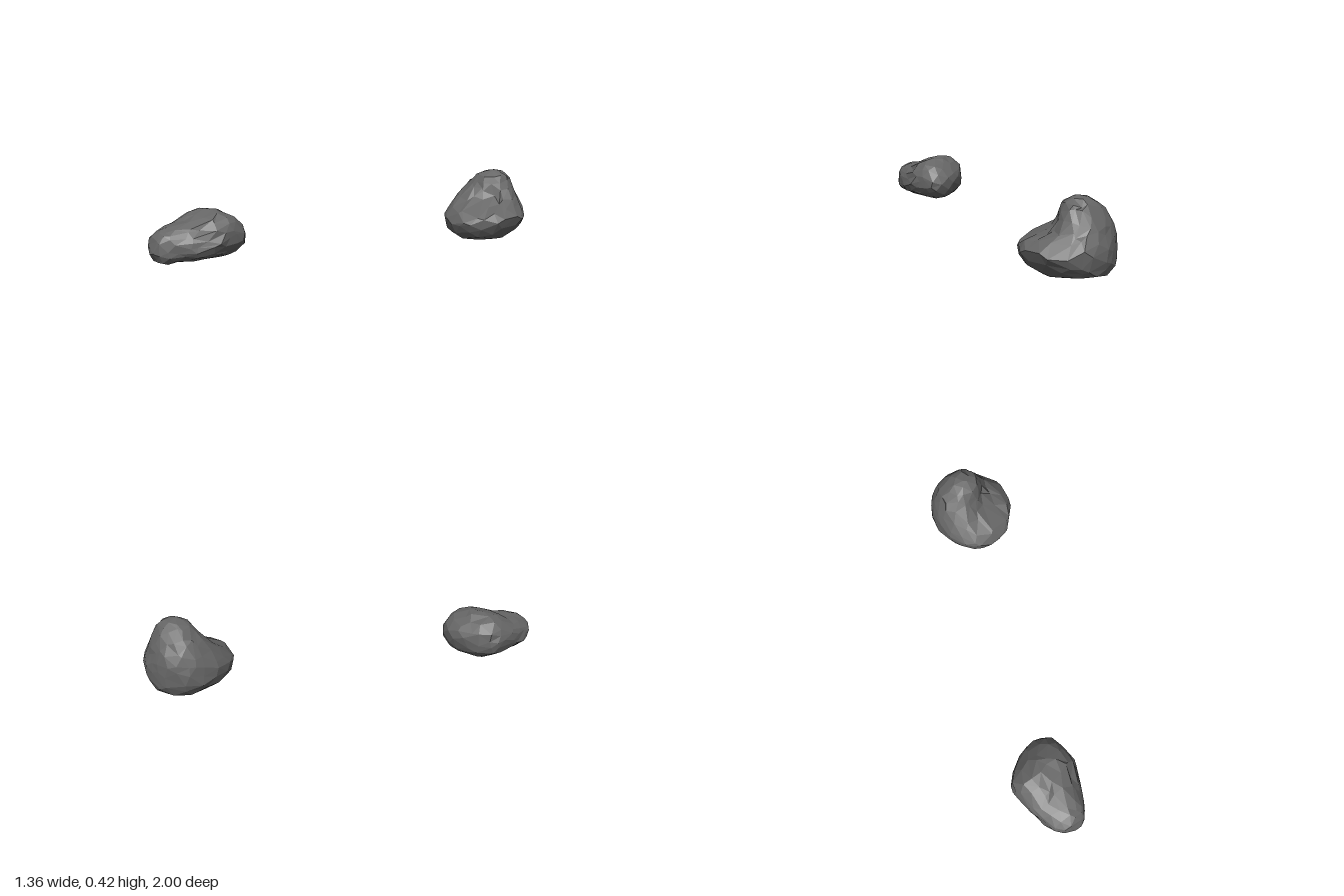
import * as THREE from 'three';
import { mergeVertices } from 'three/addons/utils/BufferGeometryUtils.js';

const material = new THREE.MeshStandardMaterial({ color: 0x666666, flatShading: true });

function seeded(seed) {
  return () => {
    seed = (seed * 16807) % 2147483647;
    return seed / 2147483647 - 0.5;
  };
}

// Centres and swellings of the cross-section at height a, blended between rows
function sectionAt(rows, a, lo, hi) {
  const swell = (r) => {
    const t = (r[0] - lo) / (hi - lo);
    const s = 2 * Math.sqrt(t * (1 - t));
    return [(r[1] + r[2]) / 2, (r[2] - r[1]) / 2 / s, (r[3] + r[4]) / 2, (r[4] - r[3]) / 2 / s];
  };
  let i = 0;
  while (i < rows.length - 2 && a > rows[i + 1][0]) i++;
  const f = THREE.MathUtils.clamp((a - rows[i][0]) / (rows[i + 1][0] - rows[i][0]), 0, 1);
  const p = swell(rows[i]), q = swell(rows[i + 1]);
  return p.map((v, k) => v + (q[k] - v) * f);
}

// Faceted ball shaped by cross-sections [a, bMin, bMax, cMin, cMax] along one axis,
// then pushed in or out around a few points and fitted to its box
function rock({ name, axes, rows, lo, hi, square, pushes, box, seed }) {
  const rnd = seeded(seed);
  let geo = new THREE.IcosahedronGeometry(1, 3);
  geo.deleteAttribute('normal');
  geo.deleteAttribute('uv');
  geo = mergeVertices(geo, 1e-4);
  const pos = geo.attributes.position;
  const [A, B, C] = axes;
  const v = new THREE.Vector3(), d = new THREE.Vector3();
  for (let i = 0; i < pos.count; i++) {
    v.fromBufferAttribute(pos, i);
    v.add(d.set(rnd(), rnd(), rnd()).multiplyScalar(0.2)).normalize();
    const a = lo + (hi - lo) * (v.getComponent(A) + 1) / 2;
    const b = v.getComponent(B), c = v.getComponent(C);
    const s = Math.hypot(b, c) || 1;
    const round = (Math.abs(b / s) ** square + Math.abs(c / s) ** square) ** (1 / square) || 1;
    const [cb, kb, cc, kc] = sectionAt(rows, a, lo, hi);
    v.setComponent(A, a);
    v.setComponent(B, cb + kb * b / round);
    v.setComponent(C, cc + kc * c / round);
    for (const [centre, radius, shift] of pushes) {
      const w = Math.exp(-((v.distanceTo(d.fromArray(centre)) / radius) ** 2));
      v.addScaledVector(d.fromArray(shift), w);
    }
    v.add(d.set(rnd(), rnd(), rnd()).multiplyScalar(0.01));
    pos.setXYZ(i, v.x, v.y, v.z);
  }
  // Fit exactly to the box
  geo.computeBoundingBox();
  const { min, max } = geo.boundingBox;
  for (let i = 0; i < pos.count; i++) {
    for (let k = 0; k < 3; k++) {
      const m = min.getComponent(k), f = (pos.getComponent(i, k) - m) / (max.getComponent(k) - m);
      pos.setComponent(i, k, box[0][k] + f * (box[1][k] - box[0][k]));
    }
  }
  geo.computeVertexNormals();
  const mesh = new THREE.Mesh(geo, material);
  mesh.name = name;
  return mesh;
}

export function createModel() {
  const group = new THREE.Group();
  group.name = 'rocks';

  // Long low rock, sections along z: x range, y range
  group.add(rock({
    name: 'lowRock', axes: [2, 0, 1], lo: 0.49, hi: 1, square: 2.4, seed: 71,
    rows: [
      [0.51, -0.55, -0.35, 0.08, 0.20],
      [0.54, -0.62, -0.31, 0.05, 0.235],
      [0.60, -0.67, -0.30, 0.02, 0.28],
      [0.66, -0.68, -0.30, 0.02, 0.285],
      [0.72, -0.68, -0.30, 0.025, 0.27],
      [0.79, -0.68, -0.33, 0.025, 0.235],
      [0.88, -0.68, -0.40, 0.025, 0.21],
      [0.95, -0.65, -0.46, 0.025, 0.19],
      [0.98, -0.61, -0.49, 0.04, 0.16],
    ],
    pushes: [[[-0.36, 0.20, 0.82], 0.08, [-0.02, -0.02, 0]]],
    box: [[-0.682, 0.018, 0.49], [-0.297, 0.287, 1]],
  }));

  // Tall rock with a hump at the back, sections along y: x range, z range
  group.add(rock({
    name: 'tallRock', axes: [1, 0, 2], lo: 0.005, hi: 0.417, square: 2.15, seed: 23,
    rows: [
      [0.03, 0.27, 0.58, -0.96, -0.57],
      [0.06, 0.23, 0.62, -0.985, -0.53],
      [0.10, 0.205, 0.65, -1.0, -0.505],
      [0.15, 0.205, 0.68, -1.0, -0.50],
      [0.185, 0.21, 0.67, -1.0, -0.53],
      [0.22, 0.22, 0.625, -0.99, -0.585],
      [0.265, 0.25, 0.60, -0.975, -0.675],
      [0.31, 0.275, 0.58, -0.96, -0.705],
      [0.35, 0.305, 0.56, -0.935, -0.72],
      [0.39, 0.365, 0.53, -0.90, -0.745],
    ],
    // Hollow above the front shelf, shelf corner, smooth left slope
    pushes: [
      [[0.53, 0.26, -0.69], 0.07, [-0.01, -0.01, -0.035]],
      [[0.67, 0.16, -0.75], 0.06, [0.015, 0, 0]],
      [[0.29, 0.26, -0.70], 0.07, [-0.01, 0, 0.02]],
    ],
    box: [[0.205, 0, -1], [0.682, 0.417, -0.5]],
  }));
  return group;
}
